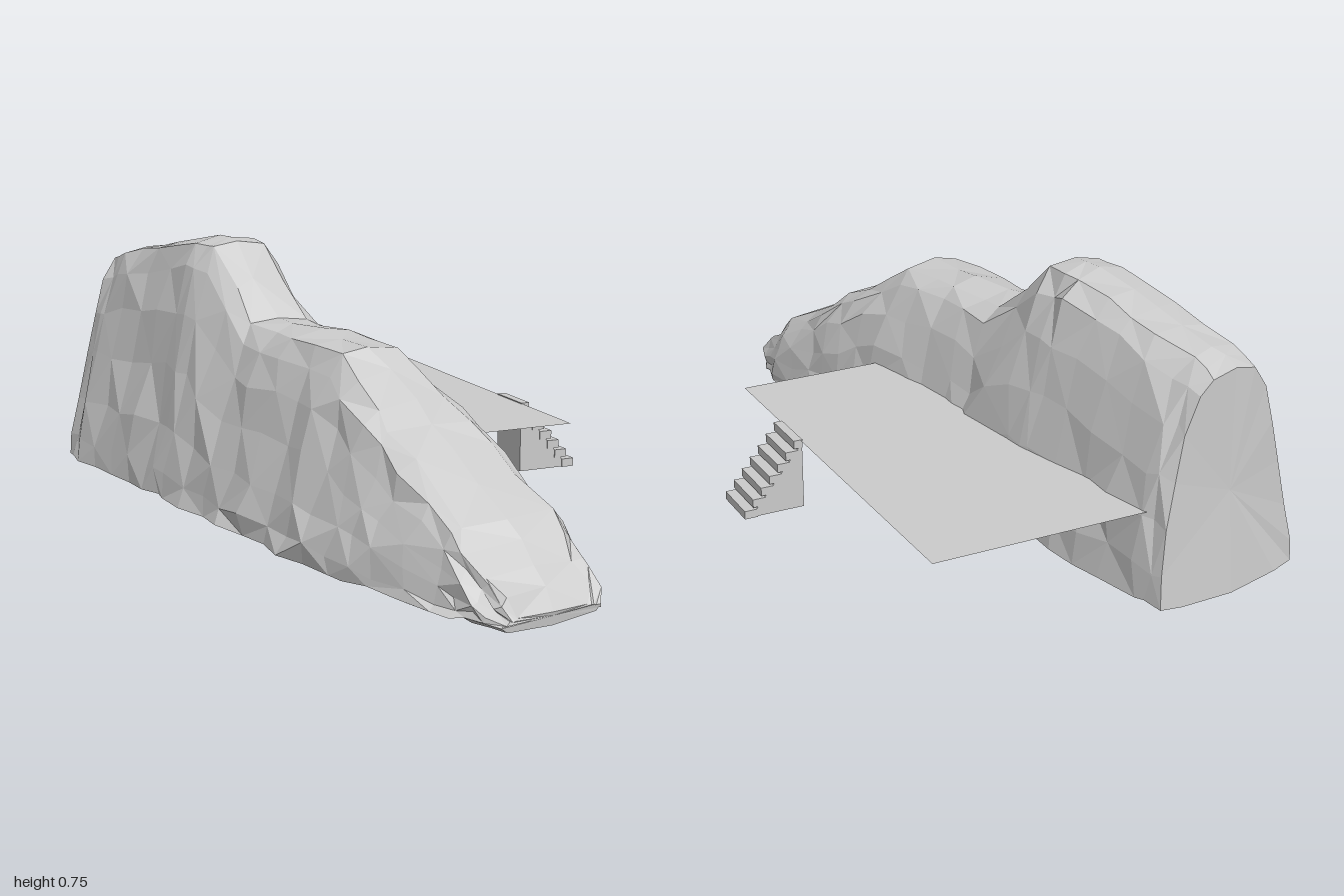
import * as THREE from 'three';

const lerp = THREE.MathUtils.lerp;
const clamp = THREE.MathUtils.clamp;

// Rock stations: distance along the ridge, back edge, front edge, crest height
const STATIONS = [
  [-0.90, -0.04, 0.43, 0.64], [-0.80, -0.055, 0.45, 0.67], [-0.58, -0.06, 0.45, 0.71],
  [-0.36, -0.06, 0.45, 0.755], [-0.24, -0.06, 0.455, 0.75], [-0.02, -0.06, 0.46, 0.56],
  [0.20, -0.06, 0.465, 0.56], [0.43, -0.07, 0.47, 0.555], [0.62, -0.08, 0.465, 0.44],
  [0.78, -0.075, 0.45, 0.345], [1.00, -0.04, 0.41, 0.22], [1.12, 0.0, 0.38, 0.125],
  [1.205, 0.047, 0.343, 0.04],
];
// Rock section: fraction across the width, fraction of the height
const SECTION = [
  [0, 0], [0, 0.15], [0.04, 0.35], [0.09, 0.55], [0.16, 0.75], [0.25, 0.91], [0.34, 0.98],
  [0.50, 1], [0.64, 0.975], [0.72, 0.88], [0.79, 0.7], [0.86, 0.5], [0.93, 0.28], [0.98, 0.1], [1, 0],
  [0.85, -0.012], [0.5, -0.02], [0.15, -0.012],
];
const BASE = 0.025;

function seeded(seed) {
  return () => {
    seed = (seed * 16807) % 2147483647;
    return seed / 2147483647 - 0.5;
  };
}

function rockGeometry() {
  const rnd = seeded(77);
  const rows = [];
  const addRow = (station, end) => {
    const [s, back, front, height] = station;
    const flat = clamp((s - 0.4) / 0.8, 0, 1) * 0.6; // crest widens towards the low end
    rows.push(SECTION.map(([w, h]) => {
      const wide = lerp(w, w < 0.5 ? 0 : w > 0.5 ? 1 : 0.5, flat);
      const under = h < 0;
      const y = under ? BASE + h : BASE + h * (height - BASE);
      const amount = end ? 0.008 : 0.024;
      const lean = end && s < 0 ? 0.03 * Math.max(h, 0) - 0.025 * Math.sin(w * Math.PI) : 0;
      return new THREE.Vector3(
        s + lean + rnd() * amount * (end ? 1 : 1.6),
        Math.max(0, y + rnd() * (h <= 0 ? 0.01 : h > 0.95 ? 0.012 : amount)),
        lerp(back, front, wide) + rnd() * amount);
    }));
  };
  STATIONS.forEach((a, i) => {
    const last = i === STATIONS.length - 1;
    addRow(a, i === 0 || last);
    if (!last) addRow(a.map((v, k) => (v + STATIONS[i + 1][k]) / 2), false);
  });

  const positions = [];
  const tri = (...points) => points.forEach((p) => positions.push(p.x, p.y, p.z));
  const n = SECTION.length;
  for (let i = 0; i < rows.length - 1; i++) {
    for (let j = 0; j < n; j++) {
      const a = rows[i][j], b = rows[i][(j + 1) % n];
      const c = rows[i + 1][j], d = rows[i + 1][(j + 1) % n];
      if ((i + j) % 2) { tri(a, b, c); tri(b, d, c); } else { tri(a, b, d); tri(a, d, c); }
    }
  }
  // End caps
  const centre = (row) => row.reduce((sum, p) => sum.add(p), new THREE.Vector3()).divideScalar(n);
  const first = rows[0], final = rows[rows.length - 1];
  const c0 = centre(first), c1 = centre(final);
  for (let j = 0; j < n; j++) {
    const k = (j + 1) % n;
    tri(c0, first[k], first[j]);
    tri(c1, final[j], final[k]);
  }
  const geometry = new THREE.BufferGeometry();
  geometry.setAttribute('position', new THREE.Float32BufferAttribute(positions, 3));
  geometry.computeVertexNormals();
  return geometry;
}

export function createModel() {
  const model = new THREE.Group();
  const stone = new THREE.MeshStandardMaterial({ color: 0xcccccc, flatShading: true });
  const sheet = new THREE.MeshStandardMaterial({ color: 0xcccccc, side: THREE.DoubleSide });
  const add = (parent, name, geometry, material = stone) => {
    const mesh = new THREE.Mesh(geometry, material);
    mesh.name = name;
    parent.add(mesh);
    return mesh;
  };

  // Long rock ridge, running diagonally
  add(model, 'rock', rockGeometry()).rotation.y = -0.559;

  // Flat platform reaching out of the back of the rock
  const platform = add(model, 'platform', new THREE.PlaneGeometry(1.233, 0.72).rotateX(-Math.PI / 2), sheet);
  platform.position.set(-0.052, 0.272, -0.254);
  platform.rotation.y = -0.717;

  // Stairs descending from the platform's outer edge
  const stairs = new THREE.Group();
  stairs.name = 'stairs';
  stairs.position.set(0.385, 0, -0.345);
  stairs.rotation.y = -0.717;
  model.add(stairs);

  const count = 7, run = 0.178 / count, rise = 0.0303, width = 0.145;
  const wedge = new THREE.Shape([
    new THREE.Vector2(0, 0.07), new THREE.Vector2(0.16, 0.07), new THREE.Vector2(0, 0.262),
  ]);
  const support = new THREE.ExtrudeGeometry(wedge, { depth: width - 0.006, bevelEnabled: false });
  support.translate(0, 0, -(width - 0.006) / 2).rotateY(Math.PI / 2);
  add(stairs, 'stairSupport', support);
  for (let i = 0; i < count; i++) {
    const depth = run + (i ? 0.012 : 0);
    const tread = add(stairs, 'tread', new THREE.BoxGeometry(width, 0.024, depth));
    tread.position.set(0, 0.263 - i * rise, -(i + 1) * run + depth / 2);
  }
  return model;
}
